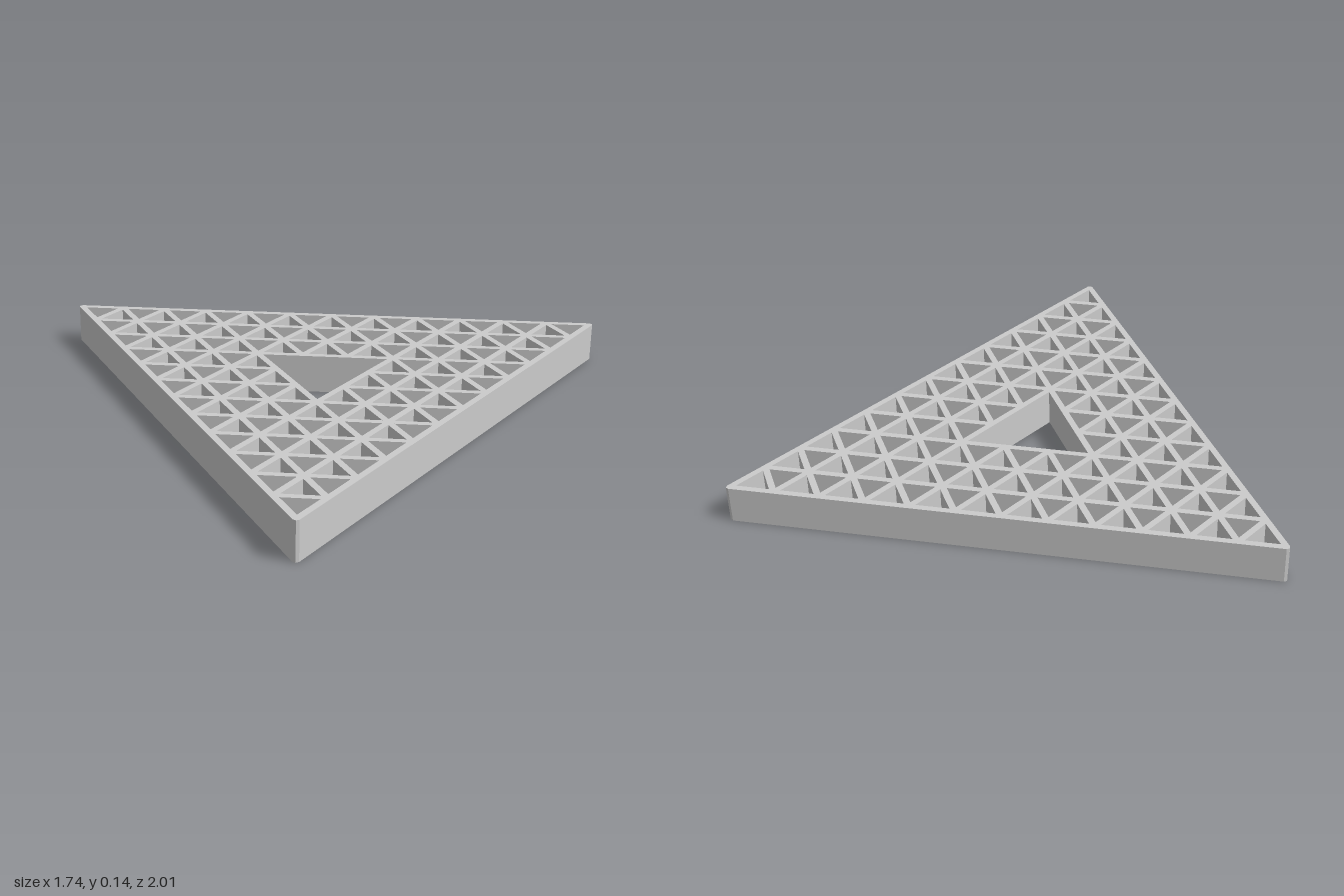
import * as THREE from 'three';

const ROWS = 12;             // lattice rows along the plate
const SIDE = 0.1655;         // edge length of one cell, wall centre to wall centre
const RISE = SIDE * Math.sqrt(3) / 2;
const WALL = 0.024;
const HEIGHT = 0.14;
const APEX_X = -ROWS * RISE / 2;

// Equilateral opening around a centroid, shrunk by half a wall; dir = -1 points to -x, 1 to +x
function triangleHole(cx, cz, side, dir) {
  const radius = side / Math.sqrt(3) - WALL;
  const points = [0, 1, 2].map((i) => {
    const a = i * 2 * Math.PI / 3;
    return new THREE.Vector2(cx + dir * radius * Math.cos(a), cz + radius * Math.sin(a));
  });
  return new THREE.Path(points);
}

// Outer triangle with small blunted corners
function outline() {
  const centreX = APEX_X + ROWS * RISE * 2 / 3;
  const radius = ROWS * SIDE / Math.sqrt(3);
  const points = [];
  for (let i = 0; i < 3; i++) {
    const a = Math.PI + i * 2 * Math.PI / 3;
    for (const turn of [-Math.PI / 3, 0, Math.PI / 3]) {
      points.push(new THREE.Vector2(
        centreX + radius * Math.cos(a) + WALL / 2 * Math.cos(a + turn),
        radius * Math.sin(a) + WALL / 2 * Math.sin(a + turn)));
    }
  }
  return new THREE.Shape(points);
}

export function createModel() {
  const group = new THREE.Group();
  group.name = 'triangularLattice';
  const shape = outline();

  // Large central opening, three cells wide
  const firstOpen = ROWS / 2, openRows = 3;
  shape.holes.push(triangleHole(APEX_X + (firstOpen + 2) * RISE, 0, openRows * SIDE, -1));

  // Small cells, alternating in direction along each row
  for (let row = 0; row < ROWS; row++) {
    const x = APEX_X + row * RISE;
    const k = row - firstOpen;
    for (const dir of [-1, 1]) {
      const last = dir < 0 ? row : row - 1;
      const openHalf = (dir < 0 ? k : k - 1) / 2 + 0.01;
      for (let j = 0; j <= last; j++) {
        const offset = j - last / 2;
        if (k >= 0 && k < openRows && Math.abs(offset) <= openHalf) continue;
        const cx = x + RISE * (dir < 0 ? 2 / 3 : 1 / 3);
        shape.holes.push(triangleHole(cx, offset * SIDE, SIDE, dir));
      }
    }
  }

  const geometry = new THREE.ExtrudeGeometry(shape, { depth: HEIGHT, bevelEnabled: false });
  geometry.rotateX(-Math.PI / 2);
  const lattice = new THREE.Mesh(geometry, new THREE.MeshStandardMaterial({ color: 0xcccccc, flatShading: true }));
  lattice.name = 'latticeWalls';
  group.add(lattice);
  return group;
}
